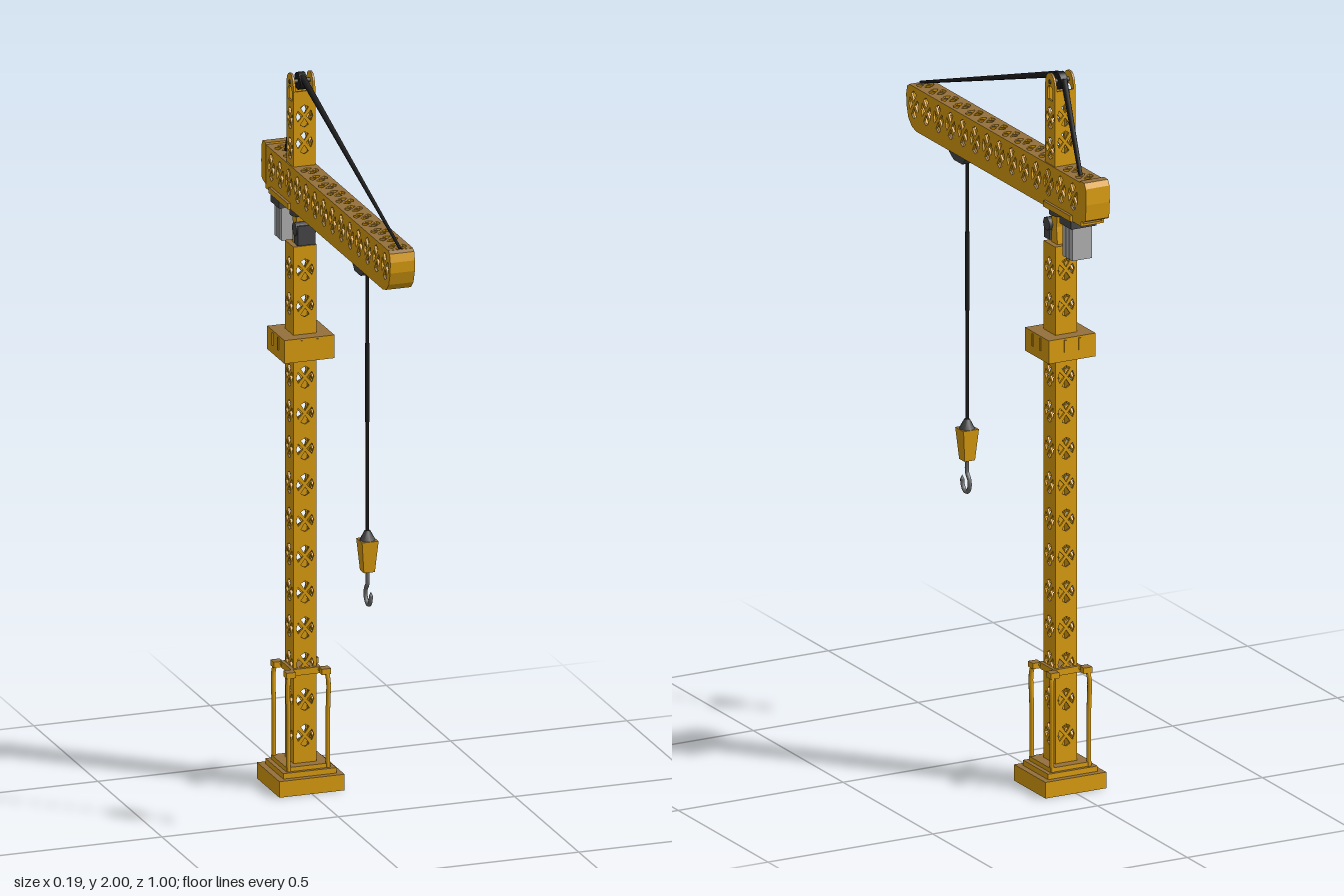
import * as THREE from 'three';

const mat = (name, color, extra = {}) => Object.assign(new THREE.MeshStandardMaterial({ color, ...extra }), { name });
const yellow = mat('yellow paint', 0xdfa010);
const weathered = mat('weathered top paint', 0x94703c);
const black = mat('black cable', 0x1c1c1c);
const dark = mat('dark machinery', 0x48484a);
const steel = mat('hook steel', 0x707072);
const grey = mat('counterweight grey', 0xb4b4b6);

const T = 0.006;          // sheet thickness
const MAST_Z = -0.292;

// Yellow mesh whose upward faces (and optionally downward ones) carry the weathered paint
function painted(name, geometry, bothEnds = false) {
  const src = geometry.index ? geometry.toNonIndexed() : geometry;
  const p = src.attributes.position;
  const sets = [[], []];
  const tri = new THREE.Triangle(), n = new THREE.Vector3();
  for (let i = 0; i < p.count; i += 3) {
    tri.setFromAttributeAndIndices(p, i, i + 1, i + 2).getNormal(n);
    const up = n.y > 0.75 || (bothEnds && n.y < -0.75);
    for (const v of [tri.a, tri.b, tri.c]) sets[up ? 1 : 0].push(v.x, v.y, v.z);
  }
  const g = new THREE.BufferGeometry();
  g.setAttribute('position', new THREE.Float32BufferAttribute(sets[0].concat(sets[1]), 3));
  g.addGroup(0, sets[0].length / 3, 0);
  g.addGroup(sets[0].length / 3, sets[1].length / 3, 1);
  g.computeVertexNormals();
  const mesh = new THREE.Mesh(g, [yellow, weathered]);
  mesh.name = name;
  return mesh;
}

function part(name, geometry, material, x = 0, y = 0, z = 0) {
  const mesh = new THREE.Mesh(geometry, material);
  mesh.name = name;
  mesh.position.set(x, y, z);
  return mesh;
}

const box = (w, h, d, x, y, z) => new THREE.BoxGeometry(w, h, d).translate(x, y, z);
const outline = pts => new THREE.Shape(pts.map(([x, y]) => new THREE.Vector2(x, y)));
const rect = (x0, x1, y0, y1) => outline([[x0, y0], [x1, y0], [x1, y1], [x0, y1]]);
const extrude = (shape, depth = T) =>
  new THREE.ExtrudeGeometry(shape, { depth, bevelEnabled: false, curveSegments: 8 }).translate(0, 0, -depth / 2);

// Four wedge-shaped openings that leave an X brace in an oval window
function cutWindow(shape, cx, cy, w, h) {
  for (let k = 0; k < 4; k++) {
    const a = k * Math.PI / 2;
    const pts = [[0.2, 0], [1, -0.56], [1.08, 0], [1, 0.56]].map(([r, s], i) => {
      const ang = a + s, rad = i === 0 ? 0.22 : r;
      return new THREE.Vector2(cx + Math.cos(ang) * rad * w / 2, cy + Math.sin(ang) * rad * h / 2);
    });
    shape.holes.push(new THREE.Path(pts));
  }
}

// Cable between two points, optionally tapering
function cable(name, a, b, rA, rB) {
  const A = new THREE.Vector3(...a), B = new THREE.Vector3(...b), d = B.clone().sub(A);
  const m = part(name, new THREE.CylinderGeometry(rB, rA, d.length(), 8), black);
  m.position.copy(A).add(B).multiplyScalar(0.5);
  m.quaternion.setFromUnitVectors(new THREE.Vector3(0, 1, 0), d.normalize());
  return m;
}

function createBase() {
  const g = new THREE.Group();
  g.name = 'base';
  g.add(painted('footing', box(0.185, 0.045, 0.175, 0, 0.0225, 0), true));
  g.add(painted('footingStep', box(0.15, 0.015, 0.14, 0, 0.0525, 0)));
  g.add(painted('footingTop', box(0.125, 0.012, 0.12, 0, 0.066, 0)));
  // Corner braces bend in to the mast at the top
  for (const sx of [-1, 1]) for (const sz of [-1, 1]) {
    const pts = [[0.056, 0.06], [0.056, 0.2], [0.056, 0.315], [0.05, 0.33], [0.028, 0.332]]
      .map(([r, y]) => new THREE.Vector3(sx * r, y, sz * r));
    g.add(part('cornerBrace', new THREE.TubeGeometry(new THREE.CatmullRomCurve3(pts), 20, 0.0065, 8), yellow));
    g.add(painted('braceClamp', box(0.026, 0.016, 0.026, sx * 0.05, 0.33, sz * 0.05)));
  }
  g.add(painted('braceRing', box(0.084, 0.018, 0.084, 0, 0.33, 0)));
  return g;
}

function createMast() {
  const g = new THREE.Group();
  g.name = 'mast';
  const h = 0.033;
  for (let k = 0; k < 4; k++) {
    const s = rect(-h, h, 0.07, 1.52);
    for (let i = 0; i < 14; i++) if (i !== 11) cutWindow(s, 0, 0.148 + i * 0.1005, 0.046, 0.058);
    g.add(painted('mastPanel', extrude(s).translate(0, 0, h - T / 2).rotateY(k * Math.PI / 2)));
  }
  // Collar with small ribs on each face
  g.add(painted('collar', box(0.142, 0.065, 0.134, 0, 1.242, 0)));
  for (let k = 0; k < 4; k++) for (const x of [-0.022, 0.022]) {
    g.add(painted('collarRib', box(0.005, 0.035, 0.006, x, 1.252, k % 2 ? 0.071 : 0.067).rotateY(k * Math.PI / 2)));
  }
  // Slewing neck and its motor
  g.add(painted('neckCap', box(0.066, 0.008, 0.066, 0, 1.518, 0)));
  const neck = outline([[-0.018, 1.52], [0.018, 1.52], [0.012, 1.57], [0.022, 1.64], [-0.022, 1.64], [-0.012, 1.57]]);
  g.add(painted('slewingNeck', extrude(neck, 0.036).rotateY(-Math.PI / 2)));
  g.add(part('slewingMotor', new THREE.BoxGeometry(0.05, 0.055, 0.03), dark, 0, 1.555, 0.03));
  g.add(part('motorDrum', new THREE.CylinderGeometry(0.018, 0.018, 0.056, 16).rotateZ(Math.PI / 2), dark, 0, 1.57, 0.026));
  g.add(part('slewingRing', new THREE.CylinderGeometry(0.03, 0.03, 0.02, 20), dark, 0, 1.612, 0));
  return g;
}

function createTopFrame() {
  const g = new THREE.Group();
  g.name = 'topFrame';
  const w = 0.031, d = 0.028;
  // Side plates with a rounded head and an arched opening
  for (const sx of [-1, 1]) {
    const s = new THREE.Shape();
    s.moveTo(-d, 1.63); s.lineTo(d, 1.63); s.lineTo(d, 1.95);
    s.quadraticCurveTo(d, 2, 0, 2); s.quadraticCurveTo(-d, 2, -d, 1.95); s.closePath();
    for (const y of [1.79, 1.875]) cutWindow(s, 0, y, 0.042, 0.058);
    const arch = new THREE.Path();
    arch.moveTo(-0.015, 1.925); arch.lineTo(0.015, 1.925); arch.lineTo(0.015, 1.95);
    arch.absarc(0, 1.95, 0.015, 0, Math.PI); arch.closePath();
    s.holes.push(arch);
    g.add(painted('topFrameSide', extrude(s).rotateY(-Math.PI / 2).translate(sx * (w - T / 2), 0, 0)));
  }
  for (const sz of [-1, 1]) {
    const s = rect(-w, w, 1.63, 1.955);
    for (const y of [1.81, 1.885]) cutWindow(s, 0, y, 0.044, 0.058);
    g.add(painted('topFrameFace', extrude(s).translate(0, 0, sz * (d - T / 2))));
  }
  g.add(part('topPulley', new THREE.CylinderGeometry(0.024, 0.024, 0.02, 20).rotateZ(Math.PI / 2), black, 0, 1.976, 0));
  g.add(part('pulleyAxle', new THREE.CylinderGeometry(0.006, 0.006, 0.066, 10).rotateZ(Math.PI / 2), dark, 0, 1.976, 0));
  return g;
}

function createJib() {
  const g = new THREE.Group();
  g.name = 'jib';
  const w = 0.035, y0 = 1.623, y1 = 1.745, back = -0.472;
  const cells = Array.from({ length: 14 }, (_, i) => 0.46 - i * 0.0682);
  const nose = [[0.445, y0], [0.47, 1.63], [0.49, 1.65], [0.501, 1.685], [0.502, 1.715], [0.496, 1.738], [0.485, y1]];
  for (const sx of [-1, 1]) {
    const s = outline([[back, y0], ...nose, [back, y1]]);
    for (const z of cells) cutWindow(s, z, 1.694, 0.05, 0.072);
    g.add(painted('jibSide', extrude(s).rotateY(-Math.PI / 2).translate(sx * (w - T / 2), 0, 0)));
  }
  // Top and bottom lattice sheets
  for (const [name, y, front] of [['jibTop', y1 - T / 2, 0.486], ['jibBottom', y0 + T / 2, 0.446]]) {
    const s = rect(-w, w, -front, -back);
    for (const z of cells) if (z < front - 0.02) cutWindow(s, 0, -z, 0.047, 0.046);
    g.add(painted(name, extrude(s).rotateX(-Math.PI / 2).translate(0, y, 0)));
  }
  // Curved nose sheet
  const inner = nose.map(([z, y]) => [z - 0.006, y + (1.69 - y) * 0.08]).reverse();
  g.add(painted('jibNose', extrude(outline([...nose, ...inner]), 2 * w).rotateY(-Math.PI / 2)));
  // Solid rounded tail
  const tail = outline([[-0.468, 1.635], [-0.468, 1.75], [-0.492, 1.75], [-0.5, 1.735], [-0.502, 1.69], [-0.498, 1.645], [-0.49, 1.64]]);
  g.add(painted('jibTail', extrude(tail, 0.072).rotateY(-Math.PI / 2)));
  return g;
}

function createCounterweight() {
  const g = new THREE.Group();
  g.name = 'counterweight';
  g.add(part('counterweightBracket', new THREE.BoxGeometry(0.076, 0.036, 0.066), dark, 0, 1.618, -0.39));
  for (const sx of [-1, 1]) g.add(painted('bracketRail', box(0.008, 0.016, 0.15, sx * 0.039, 1.632, -0.35)));
  for (let i = 0; i < 3; i++) {
    g.add(part('counterweightSlab', new THREE.BoxGeometry(0.06, 0.1, 0.0165), grey, 0, 1.558, -0.367 - i * 0.0195));
  }
  return g;
}

function createHoist() {
  const g = new THREE.Group();
  g.name = 'hoist';
  g.position.z = 0.227;
  const trolley = outline([[-0.024, 1.6], [0.024, 1.6], [0.05, 1.616], [0.05, 1.626], [-0.04, 1.626], [-0.04, 1.616]]);
  g.add(part('trolley', extrude(trolley, 0.056).rotateY(-Math.PI / 2), dark));
  g.add(cable('hoistCable', [0, 0.86, 0], [0, 1.61, 0], 0.0048, 0.0048));
  g.add(cable('cableSleeve', [0, 1.18, 0], [0, 1.4, 0], 0.0065, 0.0065));
  g.add(part('blockCap', new THREE.CylinderGeometry(0.008, 0.022, 0.026, 8), dark, 0, 0.862, 0));
  // Tapered four-sided hook block
  const block = new THREE.CylinderGeometry(0.033, 0.022, 0.088, 4).rotateY(Math.PI / 4).translate(0, 0.805, 0);
  g.add(painted('hookBlock', block));
  const pts = [[0, 0.765], [0, 0.725], [-0.012, 0.708], [-0.014, 0.688], [-0.002, 0.671], [0.014, 0.671], [0.025, 0.685], [0.027, 0.7]]
    .map(([z, y]) => new THREE.Vector3(0, y, z));
  g.add(part('hook', new THREE.TubeGeometry(new THREE.CatmullRomCurve3(pts), 32, 0.0058, 8), steel));
  g.add(part('hookTip', new THREE.ConeGeometry(0.0058, 0.012, 8), steel, 0, 0.705, 0.027));
  return g;
}

export function createModel() {
  const crane = new THREE.Group();
  crane.name = 'towerCrane';
  for (const g of [createBase(), createMast(), createTopFrame()]) {
    g.position.z = MAST_Z;
    crane.add(g);
  }
  crane.add(createJib(), createCounterweight(), createHoist());
  crane.add(cable('frontStay', [0, 1.99, -0.28], [0, 1.745, 0.485], 0.009, 0.004));
  crane.add(cable('rearStay', [0, 1.985, -0.313], [0, 1.742, -0.405], 0.009, 0.006));
  return crane;
}
